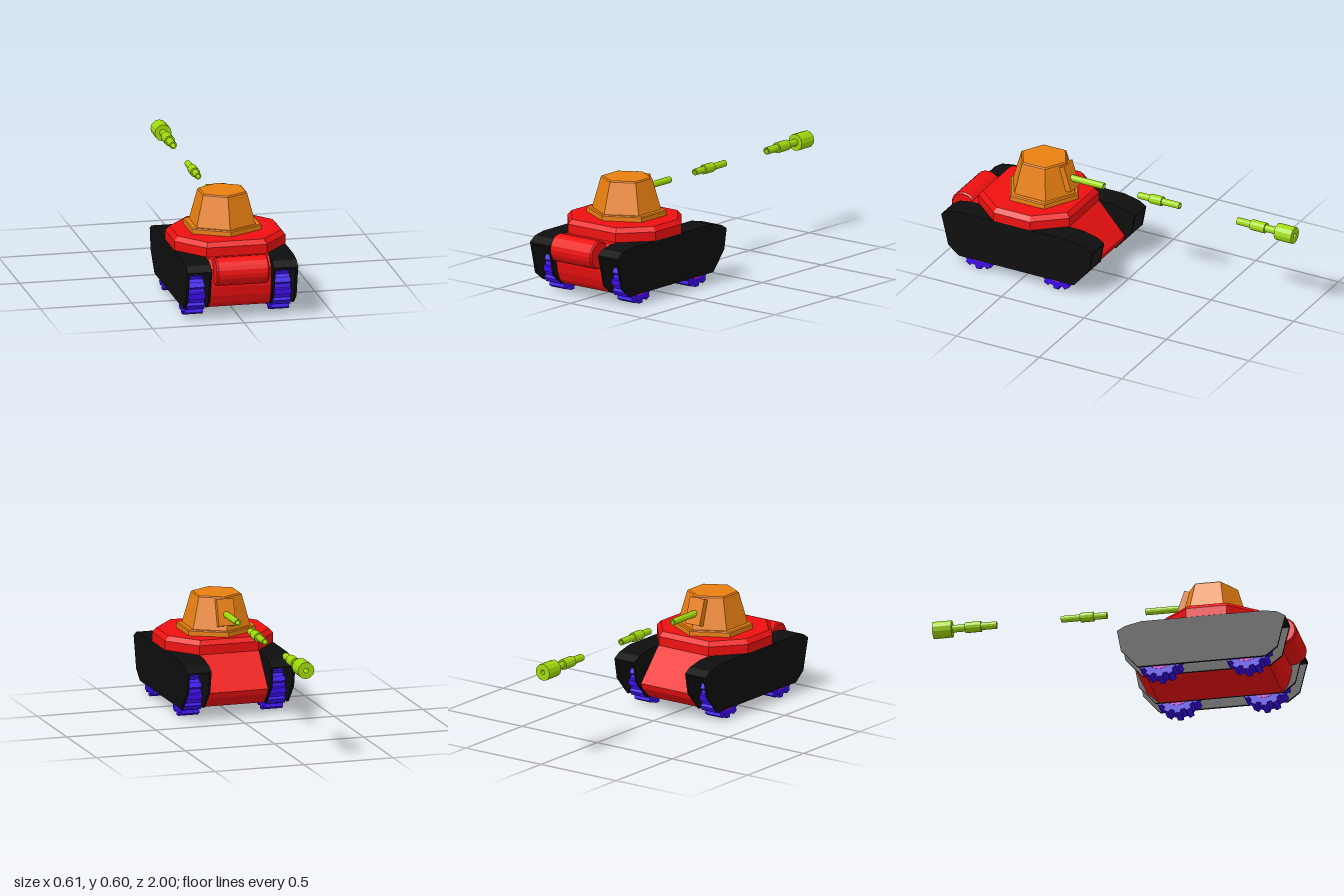
import * as THREE from 'three';
import { ConvexGeometry } from 'three/addons/geometries/ConvexGeometry.js';

const paint = (color) => new THREE.MeshStandardMaterial({ color, flatShading: true });
const RED = paint(0xee1010), ORANGE = paint(0xe87f10), BLACK = paint(0x0e0e0e);
const BLUE = paint(0x3a0ce8), MAGENTA = paint(0xd010d0), LIME = paint(0x9fd80c);

function add(parent, name, geometry, material) {
  const mesh = new THREE.Mesh(geometry, material);
  mesh.name = name;
  parent.add(mesh);
  return mesh;
}

// Side profile of [z, y] points, extruded across x from x0 to x1
function slab(points, x0, x1) {
  const shape = new THREE.Shape(points.map(([z, y]) => new THREE.Vector2(z, y)));
  const geometry = new THREE.ExtrudeGeometry(shape, { depth: x1 - x0, bevelEnabled: false });
  return geometry.rotateY(-Math.PI / 2).translate(x1, 0, 0);
}

// Convex solid stacked from one [x, z] outline, with [y, scaleX, scaleZ] levels
function stack(outline, levels, cx, cz) {
  const points = [];
  for (const [y, sx, sz] of levels) {
    for (const [x, z] of outline) points.push(new THREE.Vector3(cx + x * sx, y, cz + z * sz));
  }
  return new ConvexGeometry(points);
}

// Barrel piece: [radius, z] steps turned about the gun axis, with a bore through it
function barrel(steps, bore) {
  const first = steps[0], last = steps[steps.length - 1];
  const profile = [[bore, first[1]], ...steps, [bore, last[1]], [bore, first[1]]];
  const geometry = new THREE.LatheGeometry(profile.map(([r, z]) => new THREE.Vector2(r, -z)), 12);
  return geometry.rotateX(-Math.PI / 2).translate(-0.012, 0.515, 0);
}

// Toothed road wheel with hub and bolts, axle along x
function wheel(side, z) {
  const group = new THREE.Group();
  group.name = 'wheel';
  const teeth = 12, points = [];
  for (let i = 0; i < teeth; i++) {
    for (const [offset, r] of [[-0.32, 0.108], [-0.22, 0.125], [0.22, 0.125], [0.32, 0.108]]) {
      const a = ((i + offset) / teeth) * Math.PI * 2;
      points.push([r * Math.sin(-a), -r * Math.cos(a)]);
    }
  }
  add(group, 'toothedRim', slab(points.reverse(), -0.05, 0.05), BLUE);
  const hub = new THREE.CylinderGeometry(0.08, 0.08, 0.104, 16).rotateZ(Math.PI / 2);
  add(group, 'hub', hub, MAGENTA);
  for (let i = 0; i < 6; i++) {
    const a = (i / 6) * Math.PI * 2;
    const bolt = new THREE.CylinderGeometry(0.008, 0.008, 0.108, 6).rotateZ(Math.PI / 2);
    add(group, 'bolt', bolt.translate(0, 0.045 * Math.sin(a), 0.045 * Math.cos(a)), MAGENTA);
  }
  group.position.set(side * 0.235, 0.125, z);
  return group;
}

export function createModel() {
  const model = new THREE.Group();
  model.name = 'tank';

  // Hull: rounded nose at +z, sloped plate at -z
  const hullProfile = [
    [0.19, 0.06], [0.86, 0.06], [0.885, 0.085], [0.903, 0.13], [0.912, 0.18],
    [0.905, 0.28], [0.86, 0.325], [0.27, 0.325], [0.115, 0.15], [0.125, 0.12],
  ];
  add(model, 'hull', slab(hullProfile, -0.168, 0.168), RED);

  // Eight-sided deck with a chamfered rim
  const deckOutline = [
    [0.165, -0.275], [0.303, -0.11], [0.303, 0.11], [0.165, 0.275],
    [-0.165, 0.275], [-0.303, 0.11], [-0.303, -0.11], [-0.165, -0.275],
  ];
  const deckLevels = [[0.325, 1, 1], [0.375, 1, 1], [0.4, 0.93, 0.93]];
  add(model, 'deck', stack(deckOutline, deckLevels, 0, 0.545), RED);

  // Drum with chamfered ends on the nose
  const drum = [[0, -0.143], [0.069, -0.143], [0.077, -0.135], [0.077, 0.135], [0.069, 0.143], [0, 0.143]];
  const drumGeometry = new THREE.LatheGeometry(drum.map(([r, x]) => new THREE.Vector2(r, x)), 20);
  const drumMesh = add(model, 'drum', drumGeometry.rotateZ(Math.PI / 2), RED);
  drumMesh.position.set(-0.002, 0.272, 0.923);

  // Track guards: two side plates and a roof over toothed wheels
  const platePoints = [
    [0.17, 0.06], [0.865, 0.06], [0.93, 0.11], [0.955, 0.215], [0.973, 0.285],
    [0.93, 0.313], [0.86, 0.325], [0.19, 0.325], [0.1, 0.305], [0.057, 0.28], [0.078, 0.165],
  ];
  const roofPoints = [
    [0.058, 0.27], [0.968, 0.27], [0.973, 0.285], [0.93, 0.313],
    [0.86, 0.325], [0.19, 0.325], [0.1, 0.305], [0.057, 0.28],
  ];
  for (const side of [-1, 1]) {
    const guard = new THREE.Group();
    guard.name = side > 0 ? 'leftTrack' : 'rightTrack';
    const spans = [['sidePlate', platePoints, 0.168, 0.18],
      ['sidePlate', platePoints, 0.289, 0.302], ['guardRoof', roofPoints, 0.18, 0.289]];
    for (const [name, points, a, b] of spans) {
      add(guard, name, side > 0 ? slab(points, a, b) : slab(points, -b, -a), BLACK);
    }
    for (const z of [0.285, 0.757]) guard.add(wheel(side, z));
    model.add(guard);
  }

  // Six-sided turret, corners pointing along z
  const hexagon = [];
  for (let i = 0; i < 6; i++) {
    const a = (i / 6) * Math.PI * 2;
    hexagon.push([Math.sin(a) / Math.cos(Math.PI / 6), Math.cos(a)]);
  }
  const ringLevels = [[0.4, 0.19, 0.207], [0.425, 0.19, 0.207], [0.43, 0.184, 0.2]];
  add(model, 'turretRing', stack(hexagon, ringLevels, -0.01, 0.517), ORANGE);
  const turretLevels = [[0.43, 0.161, 0.188], [0.598, 0.12, 0.139], [0.604, 0.113, 0.13]];
  add(model, 'turret', stack(hexagon, turretLevels, -0.01, 0.517), ORANGE);

  // Leaning gun shield
  const shield = add(model, 'gunShield', new THREE.BoxGeometry(0.095, 0.145, 0.05), ORANGE);
  shield.position.set(-0.012, 0.52, 0.375);
  shield.rotation.x = 0.32;

  // Gun in three separate pieces
  add(model, 'gunBase', barrel([[0.018, 0.4], [0.018, 0.155]], 0.011), LIME);
  add(model, 'gunMiddle', barrel([
    [0.018, -0.055], [0.018, -0.127], [0.026, -0.127], [0.026, -0.2], [0.018, -0.2], [0.018, -0.305],
  ], 0.011), LIME);
  add(model, 'gunMuzzle', barrel([
    [0.02, -0.655], [0.02, -0.74], [0.029, -0.74], [0.029, -0.826],
    [0.02, -0.826], [0.02, -0.897], [0.046, -0.897], [0.046, -1],
  ], 0.013), LIME);

  return model;
}
